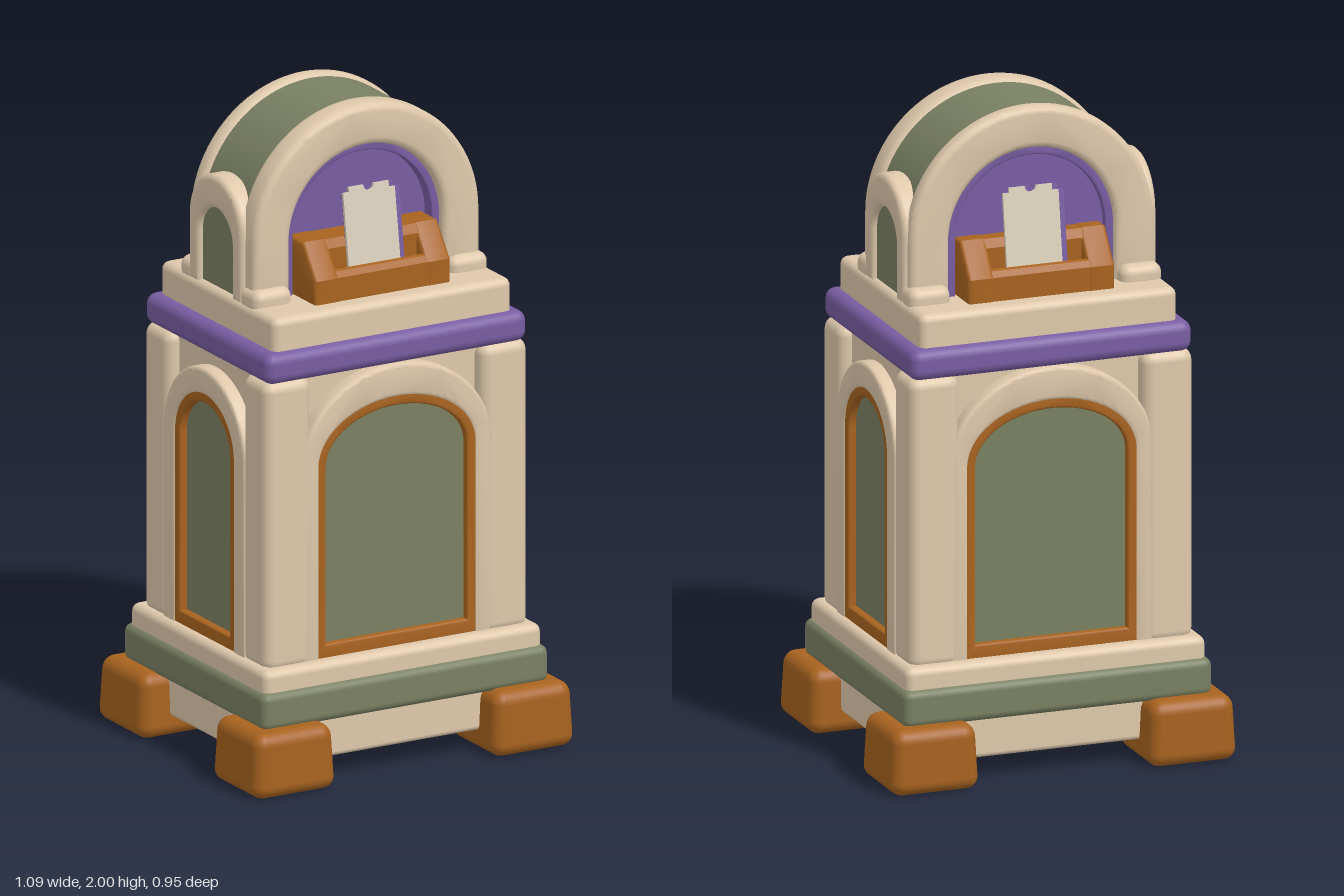
import * as THREE from 'three';
import { RoundedBoxGeometry } from 'three/addons/geometries/RoundedBoxGeometry.js';
import { toCreasedNormals } from 'three/addons/utils/BufferGeometryUtils.js';

const mat = (name, color) => {
  const m = new THREE.MeshStandardMaterial({ color });
  m.name = name;
  return m;
};

export function createModel() {
  const cream = mat('cream stone', 0xdec8ab);
  const green = mat('sage green', 0x798062);
  const orange = mat('copper orange', 0xa8631f);
  const purple = mat('purple', 0x785da2);
  const paper = mat('pale paper', 0xdad0bc);

  const root = new THREE.Group();
  root.name = 'kiosk';

  const add = (name, geo, material, parent = root) => {
    const mesh = new THREE.Mesh(geo, material);
    mesh.name = name;
    parent.add(mesh);
    return mesh;
  };

  // Rounded box given by its min and max corners
  const box = (name, [x0, y0, z0], [x1, y1, z1], r, material, parent) => {
    const mesh = add(name, new RoundedBoxGeometry(x1 - x0, y1 - y0, z1 - z0, 3, r), material, parent);
    mesh.position.set((x0 + x1) / 2, (y0 + y1) / 2, (z0 + z1) / 2);
    return mesh;
  };

  const extrude = (shape, z0, z1, bevel = 0) => {
    const geo = new THREE.ExtrudeGeometry(shape, {
      depth: z1 - z0 - 2 * bevel, curveSegments: 28, steps: 1,
      bevelEnabled: bevel > 0, bevelThickness: bevel, bevelSize: bevel,
      bevelOffset: -bevel, bevelSegments: 3,
    });
    geo.translate(0, 0, z0 + bevel);
    return toCreasedNormals(geo, 0.6);
  };

  // Round-topped outline: half width, base, spring line and top
  const trace = (path, [w, base, spring, top]) => {
    path.moveTo(-w, base);
    path.lineTo(w, base);
    path.lineTo(w, spring);
    path.absellipse(0, spring, w, top - spring, 0, Math.PI, false, 0);
    path.closePath();
    return path;
  };
  const archPanel = (outer, z0, z1) => extrude(trace(new THREE.Shape(), outer), z0, z1);
  const archFrame = (outer, inner, z0, z1, bevel) => {
    const shape = trace(new THREE.Shape(), outer);
    shape.holes.push(trace(new THREE.Path(), inner));
    return extrude(shape, z0, z1, bevel);
  };
  // Arch standing on two legs, open at the base; inner is half width, spring and top
  const openArch = ([w, base, spring, top], [iw, iSpring, iTop], z0, z1, bevel) => {
    const s = new THREE.Shape();
    s.moveTo(iw, base);
    s.lineTo(w, base);
    s.lineTo(w, spring);
    s.absellipse(0, spring, w, top - spring, 0, Math.PI, false, 0);
    s.lineTo(-w, base);
    s.lineTo(-iw, base);
    s.lineTo(-iw, iSpring);
    s.absellipse(0, iSpring, iw, iTop - iSpring, Math.PI, 0, true, 0);
    s.closePath();
    return extrude(s, z0, z1, bevel);
  };

  // Feet, slightly wider at the floor
  for (const sx of [-1, 1]) for (const sz of [-1, 1]) {
    const geo = new RoundedBoxGeometry(0.28, 0.2, 0.28, 4, 0.04);
    const p = geo.attributes.position;
    for (let i = 0; i < p.count; i++) {
      const k = 0.97 - p.getY(i) * 0.35;
      p.setX(i, p.getX(i) * k);
      p.setZ(i, p.getZ(i) * k);
    }
    add('foot', geo, orange).position.set(sx * 0.408, 0.1, sz * 0.338);
  }

  // Stepped base, waist band and upper ledge
  const slab = (name, x, z, y0, y1, r, material) =>
    box(name, [-x, y0, -z], [x, y1, z], r, material);
  slab('undersidePlinth', 0.45, 0.375, 0.065, 0.22, 0.015, cream);
  slab('greenPlinth', 0.489, 0.416, 0.19, 0.305, 0.025, green);
  slab('creamPlinth', 0.475, 0.399, 0.28, 0.37, 0.025, cream);
  slab('bodyCore', 0.41, 0.315, 0.35, 1.27, 0.01, cream);
  slab('waistBand', 0.446, 0.367, 1.242, 1.337, 0.032, purple);
  slab('upperLedge', 0.408, 0.337, 1.31, 1.437, 0.025, cream);

  // Corner pillars
  for (const sx of [-1, 1]) for (const sz of [-1, 1]) {
    const pillar = box('cornerPillar', [-0.08, 0.35, -0.075], [0.08, 1.25, 0.075], 0.035, cream);
    pillar.position.x = sx * 0.37;
    pillar.position.z = sz * 0.29;
  }

  // Arched window on each of the four faces
  const windowFace = (name, angle, face, w, top, outerW, outerTop) => {
    const g = new THREE.Group();
    g.name = name;
    g.rotation.y = angle;
    root.add(g);
    const spring = 0.96;
    add('windowSurround', openArch([outerW, 0.36, spring, outerTop], [w - 0.012, spring, top - 0.012],
      face - 0.07, face, 0.012), cream, g);
    add('windowFrame', archFrame([w, 0.365, spring, top], [w - 0.036, 0.41, spring, top - 0.038],
      face - 0.06, face - 0.004, 0.006), orange, g);
    add('windowPanel', archPanel([w - 0.03, 0.4, spring, top - 0.03], face - 0.06, face - 0.028), green, g);
  };
  windowFace('frontWindow', 0, 0.362, 0.277, 1.152, 0.325, 1.243);
  windowFace('backWindow', Math.PI, 0.362, 0.277, 1.152, 0.325, 1.243);
  windowFace('leftWindow', Math.PI / 2, 0.453, 0.182, 1.13, 0.24, 1.2);
  windowFace('rightWindow', -Math.PI / 2, 0.453, 0.182, 1.13, 0.24, 1.2);

  // Domed crown: green barrel between two cream arches
  const outer = [0.387, 1.425, 1.613, 2.0];
  const inner = [0.262, 1.61, 1.872];
  add('crownBarrel', archPanel([0.374, 1.425, 1.613, 1.99], -0.15, 0.105), green);
  add('frontCrownArch', openArch(outer, inner, 0.095, 0.187, 0.022), cream);
  add('backCrownArch', openArch(outer, inner, -0.202, -0.142, 0.02), cream);

  // Purple recess with a stepped trim inside each crown arch
  for (const [name, z0, z1, z2] of [['front', 0.1, 0.112, 0.155], ['back', -0.145, -0.157, -0.182]]) {
    add(name + 'RecessPanel', archPanel([0.28, 1.43, 1.61, 1.89], Math.min(z0, z1), Math.max(z0, z1)), purple);
    add(name + 'RecessTrim', openArch([0.28, 1.43, 1.61, 1.89], [0.238, 1.61, 1.848],
      Math.min(z0, z2), Math.max(z0, z2), 0.004), purple);
  }

  // Small side niches and the toes of the crown arches
  for (const s of [-1, 1]) {
    const g = new THREE.Group();
    g.name = s > 0 ? 'leftNiche' : 'rightNiche';
    g.rotation.y = s * Math.PI / 2;
    g.position.z = -0.022;
    root.add(g);
    add('nicheArch', openArch([0.157, 1.425, 1.63, 1.785], [0.096, 1.59, 1.682], 0.33, 0.403, 0.018), cream, g);
    add('nichePanel', archPanel([0.115, 1.43, 1.59, 1.7], 0.35, 0.386), green, g);
    for (const [z0, z1] of [[0.11, 0.218], [-0.24, -0.15]]) {
      const toe = box('archToe', [-0.066, 1.41, z0], [0.066, 1.485, z1], 0.03, cream);
      toe.position.x = s * 0.335;
    }
  }

  // Extrudes a (z, y) side profile across x
  const profile = (pts, x0, x1, bevel) => {
    const shape = new THREE.Shape(pts.map(([z, y]) => new THREE.Vector2(-z, y)));
    const geo = extrude(shape, x0, x1, bevel);
    geo.rotateY(Math.PI / 2);
    return geo;
  };

  // Ticket outline with a notched top edge
  const card = (w, h) => {
    const s = new THREE.Shape();
    s.moveTo(-w, 0);
    s.lineTo(w, 0);
    s.lineTo(w, h - 0.02);
    s.lineTo(w - 0.02, h - 0.02);
    s.lineTo(w - 0.02, h);
    s.lineTo(0.018, h);
    s.absarc(0, h, 0.018, 0, Math.PI, true);
    s.lineTo(0.02 - w, h);
    s.lineTo(0.02 - w, h - 0.015);
    s.lineTo(-w, h - 0.015);
    s.closePath();
    return s;
  };

  // Dispensing tray with a ticket standing in its slot, front and back
  for (const dir of [1, -1]) {
    const g = new THREE.Group();
    g.name = dir > 0 ? 'frontDispenser' : 'backDispenser';
    g.rotation.y = dir > 0 ? 0 : Math.PI;
    root.add(g);
    const cheek = [[0.277, 1.43], [0.11, 1.43], [0.11, 1.612], [0.2, 1.612], [0.277, 1.51]];
    add('trayCheek', profile(cheek, -0.232, -0.148, 0.012), orange, g);
    add('trayCheek', profile(cheek, 0.148, 0.232, 0.012), orange, g);
    add('trayLip', profile([[0.275, 1.43], [0.25, 1.43], [0.25, 1.53], [0.262, 1.527], [0.275, 1.51]],
      -0.16, 0.16), orange, g);
    add('trayRail', profile([[0.218, 1.43], [0.11, 1.43], [0.11, 1.61], [0.2, 1.61], [0.218, 1.585]],
      -0.16, 0.16), orange, g);
    box('traySlotFloor', [-0.16, 1.44, 0.2], [0.16, 1.51, 0.262], 0.005, purple, g);

    // Ticket and its backing card
    const stand = new THREE.Group();
    stand.name = 'ticketStand';
    stand.position.set(0, 1.5, 0.236);
    stand.rotation.x = -0.15;
    g.add(stand);
    add('ticket', extrude(card(0.088, 0.262), 0.002, 0.012), paper, stand).position.x = -0.01;
    add('ticketBacking', extrude(card(0.094, 0.26), -0.014, 0.002), purple, stand).position.x = 0.004;
  }

  return root;
}
